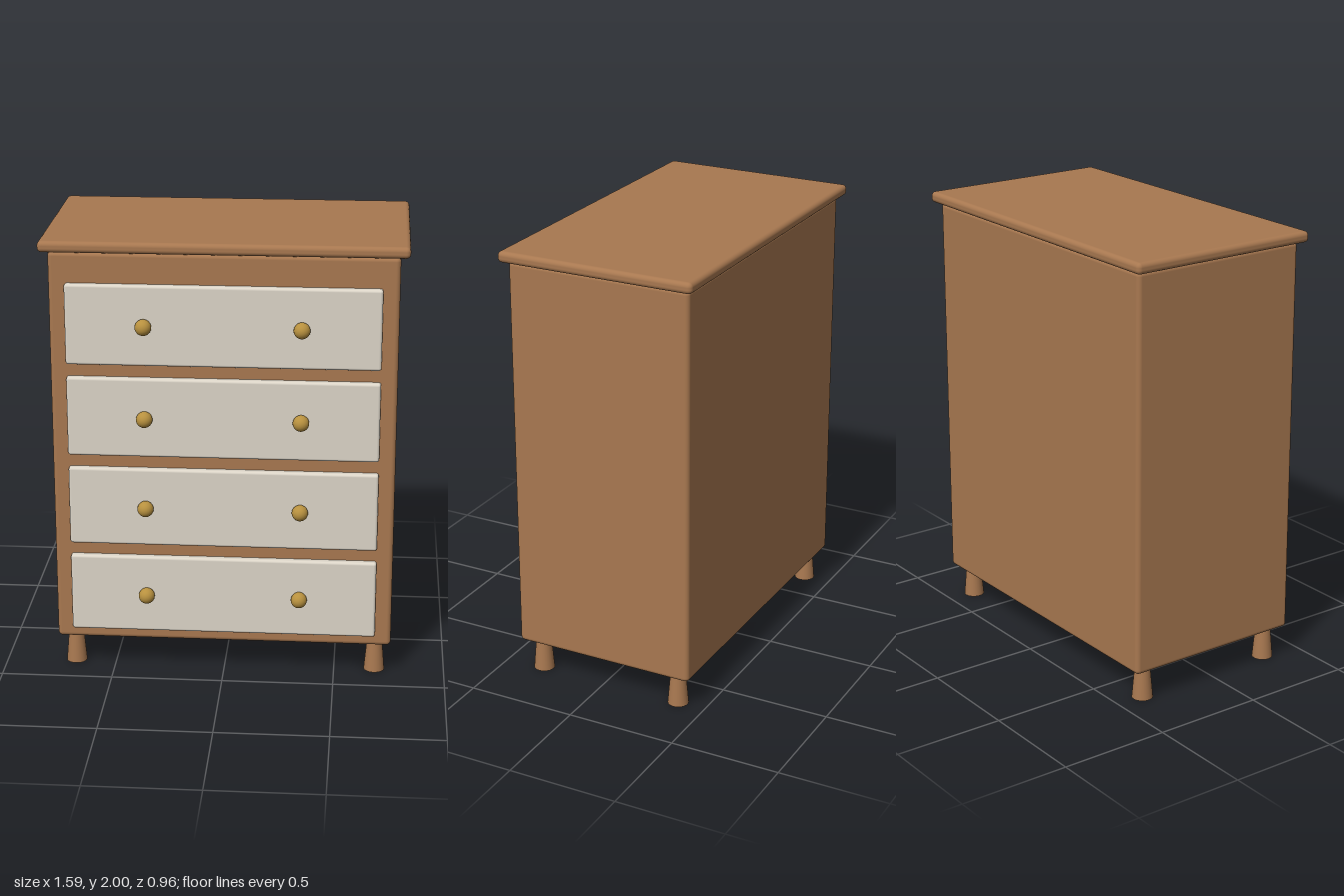
import * as THREE from 'three';
import { RoundedBoxGeometry } from 'three/addons/geometries/RoundedBoxGeometry.js';

const wood = new THREE.MeshStandardMaterial({ color: 0xa87850 });
const paint = new THREE.MeshStandardMaterial({ color: 0xdcd5c8 });
const brass = new THREE.MeshStandardMaterial({ color: 0xb8913f });

export function createModel() {
  const model = new THREE.Group();
  model.name = 'chestOfDrawers';

  function add(name, geometry, material, x, y, z) {
    const mesh = new THREE.Mesh(geometry, material);
    mesh.name = name;
    mesh.position.set(x, y, z);
    model.add(mesh);
    return mesh;
  }

  // Carcass and overhanging top board
  add('carcass', new RoundedBoxGeometry(1.51, 1.8, 0.85, 4, 0.02), wood, 0, 1.05, -0.025);
  add('topBoard', new RoundedBoxGeometry(1.59, 0.05, 0.91, 4, 0.02), wood, 0, 1.975, -0.026);

  // Four drawer fronts, each with two round knobs
  const front = new RoundedBoxGeometry(1.366, 0.359, 0.06, 4, 0.012);
  const knob = new THREE.SphereGeometry(0.036, 24, 16);
  for (let i = 0; i < 4; i++) {
    const y = 0.384 + i * 0.417;
    add('drawerFront' + (i + 1), front, paint, 0, y, 0.4);
    for (const side of [-1, 1]) {
      add((side > 0 ? 'leftKnob' : 'rightKnob') + (i + 1), knob, brass, side * 0.341, y, 0.447);
    }
  }

  // Four round legs, widening towards the floor
  const leg = new THREE.CylinderGeometry(0.033, 0.047, 0.16, 24);
  for (const side of [-1, 1]) {
    for (const z of [0.318, -0.368]) {
      add((z > 0 ? 'front' : 'back') + (side > 0 ? 'Left' : 'Right') + 'Leg', leg, wood, side * 0.683, 0.08, z);
    }
  }

  return model;
}
